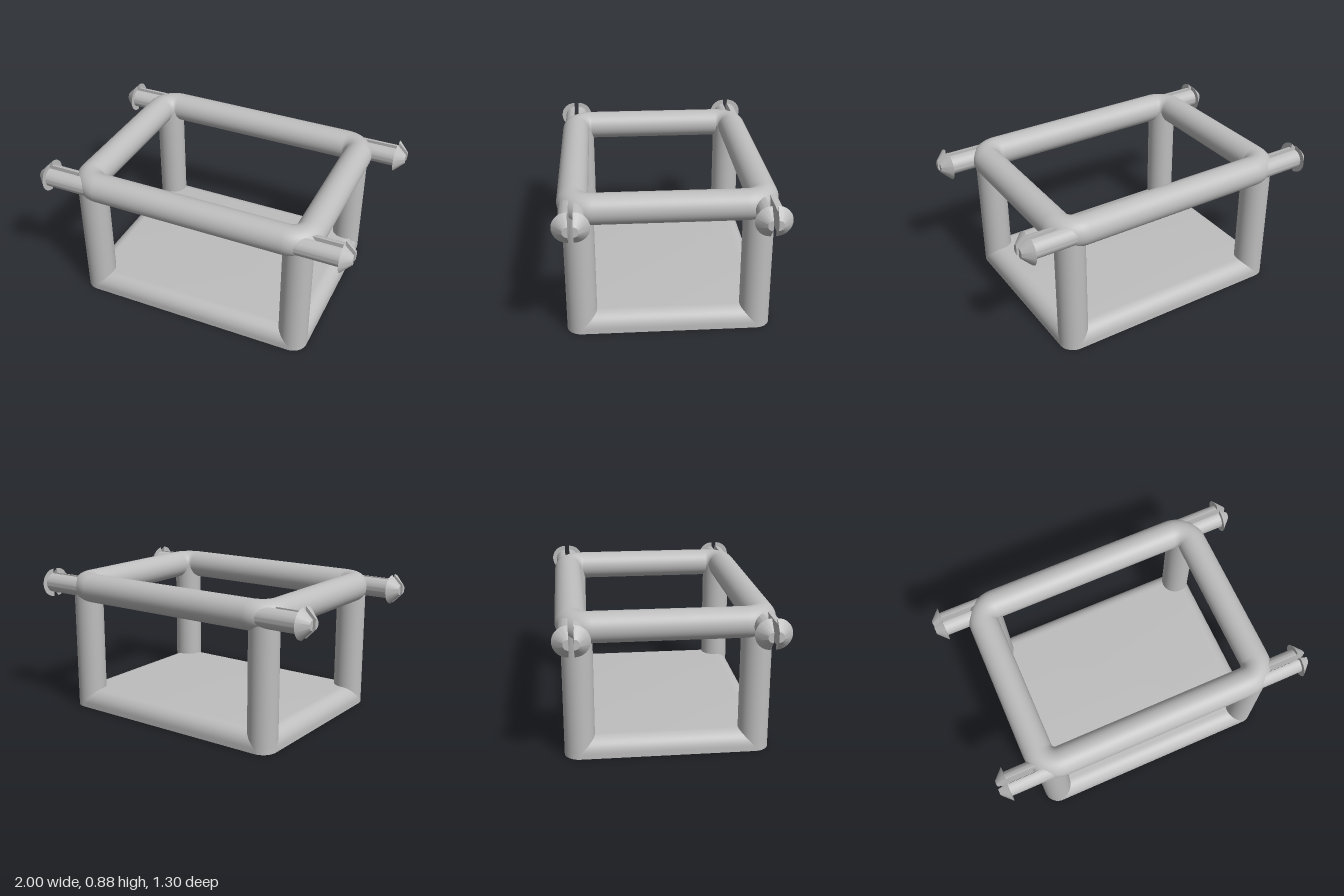
import * as THREE from 'three';
import { mergeGeometries, mergeVertices, toCreasedNormals } from 'three/addons/utils/BufferGeometryUtils.js';

const R = 0.09;                    // frame tube radius
const POST = { x: 0.67, z: 0.515 }; // post centres
const RING = { x: 0.71, z: 0.545, y: 0.79, bend: 0.11 };
const CORNERS = [[1, 1], [-1, 1], [-1, -1], [1, -1]];

// Slab with a rounded shoulder, lofted from rounded-rectangle loops
function baseGeometry() {
  const levels = [[0.0001, 0], [R, 0], [R, 0.03]]; // [corner radius, height]
  for (let i = 1; i <= 10; i++) {
    const a = (i / 10) * Math.PI / 2;
    levels.push([Math.max(R * Math.cos(a), 0.0001), 0.03 + R * Math.sin(a)]);
  }
  const steps = 10, pos = [], idx = [], n = 4 * (steps + 1);
  for (const [r, y] of levels) {
    CORNERS.forEach(([sx, sz], c) => {
      for (let i = 0; i <= steps; i++) {
        const a = (c + i / steps) * Math.PI / 2;
        pos.push(sx * POST.x + r * Math.cos(a), y, sz * POST.z + r * Math.sin(a));
      }
    });
  }
  for (let l = 0; l < levels.length - 1; l++) {
    for (let i = 0; i < n; i++) {
      const a = l * n + i, b = l * n + (i + 1) % n;
      idx.push(a, a + n, b, b, a + n, b + n);
    }
  }
  // Flat floor and underside
  const top = (levels.length - 1) * n;
  for (let i = 1; i < n - 1; i++) {
    idx.push(top, top + i + 1, top + i);
    idx.push(0, i, i + 1);
  }
  const g = new THREE.BufferGeometry();
  g.setAttribute('position', new THREE.Float32BufferAttribute(pos, 3));
  g.setIndex(idx);
  return toCreasedNormals(mergeVertices(g, 1e-6), 0.6);
}

// Rounded rectangular tube: four straight runs and four quarter bends
function ringGeometry() {
  const parts = [];
  const { x, z, bend } = RING;
  for (const s of [1, -1]) {
    const long = new THREE.CylinderGeometry(R, R, 2 * (x - bend), 40, 1, true);
    parts.push(long.rotateZ(Math.PI / 2).translate(0, 0, s * z));
    const short = new THREE.CylinderGeometry(R, R, 2 * (z - bend), 40, 1, true);
    parts.push(short.rotateX(Math.PI / 2).translate(s * x, 0, 0));
  }
  CORNERS.forEach(([sx, sz], c) => {
    const elbow = new THREE.TorusGeometry(bend, R, 40, 14, Math.PI / 2);
    elbow.rotateX(Math.PI / 2).rotateY(-c * Math.PI / 2);
    parts.push(elbow.translate(sx * (x - bend), 0, sz * (z - bend)));
  });
  return mergeGeometries(parts);
}

// Half of a split snap pin with a barbed conical head, lying along +x
function pinHalfGeometry(side) {
  const profile = [[0, 0.64], [0.06, 0.64], [0.06, 0.94], [R, 0.94], [0.03, 1], [0, 1]]
    .map(([r, y]) => new THREE.Vector2(r, y));
  const round = new THREE.LatheGeometry(profile, 24, -Math.PI / 2, Math.PI);
  const mirrored = profile.slice(1, -1).reverse().map(p => new THREE.Vector2(-p.x, p.y));
  const flat = new THREE.ShapeGeometry(new THREE.Shape([...profile.slice(1, -1), ...mirrored]));
  flat.rotateY(Math.PI);
  const g = mergeGeometries([round.toNonIndexed(), flat.toNonIndexed()]);
  g.translate(0, 0, 0.015); // half of the slot width
  if (side < 0) g.rotateY(Math.PI);
  return toCreasedNormals(g.rotateZ(-Math.PI / 2), 0.5);
}

export function createModel() {
  const model = new THREE.Group();
  model.name = 'openFrameTray';
  const grey = new THREE.MeshStandardMaterial({ color: 0xbebebe });
  grey.name = 'plain grey';

  const add = (geometry, name, parent = model) => {
    const mesh = new THREE.Mesh(geometry, grey);
    mesh.name = name;
    parent.add(mesh);
    return mesh;
  };

  add(baseGeometry(), 'base');
  add(ringGeometry(), 'topRing').position.y = RING.y;

  // Corner posts and the split pins beside them
  const postGeometry = new THREE.CylinderGeometry(R, R, RING.y - 0.002, 40, 1, true);
  const halves = [pinHalfGeometry(1), pinHalfGeometry(-1)];
  for (const [sx, sz] of CORNERS) {
    const label = (sz > 0 ? 'front' : 'back') + (sx > 0 ? 'Left' : 'Right');
    add(postGeometry, label + 'Post').position.set(sx * POST.x, RING.y / 2, sz * POST.z);

    const pin = new THREE.Group();
    pin.name = label + 'Pin';
    halves.forEach((g, i) => add(g, label + 'PinHalf' + (i + 1), pin));
    pin.position.set(0, RING.y, sz * 0.546);
    if (sx < 0) pin.rotation.y = Math.PI;
    model.add(pin);
  }
  return model;
}
